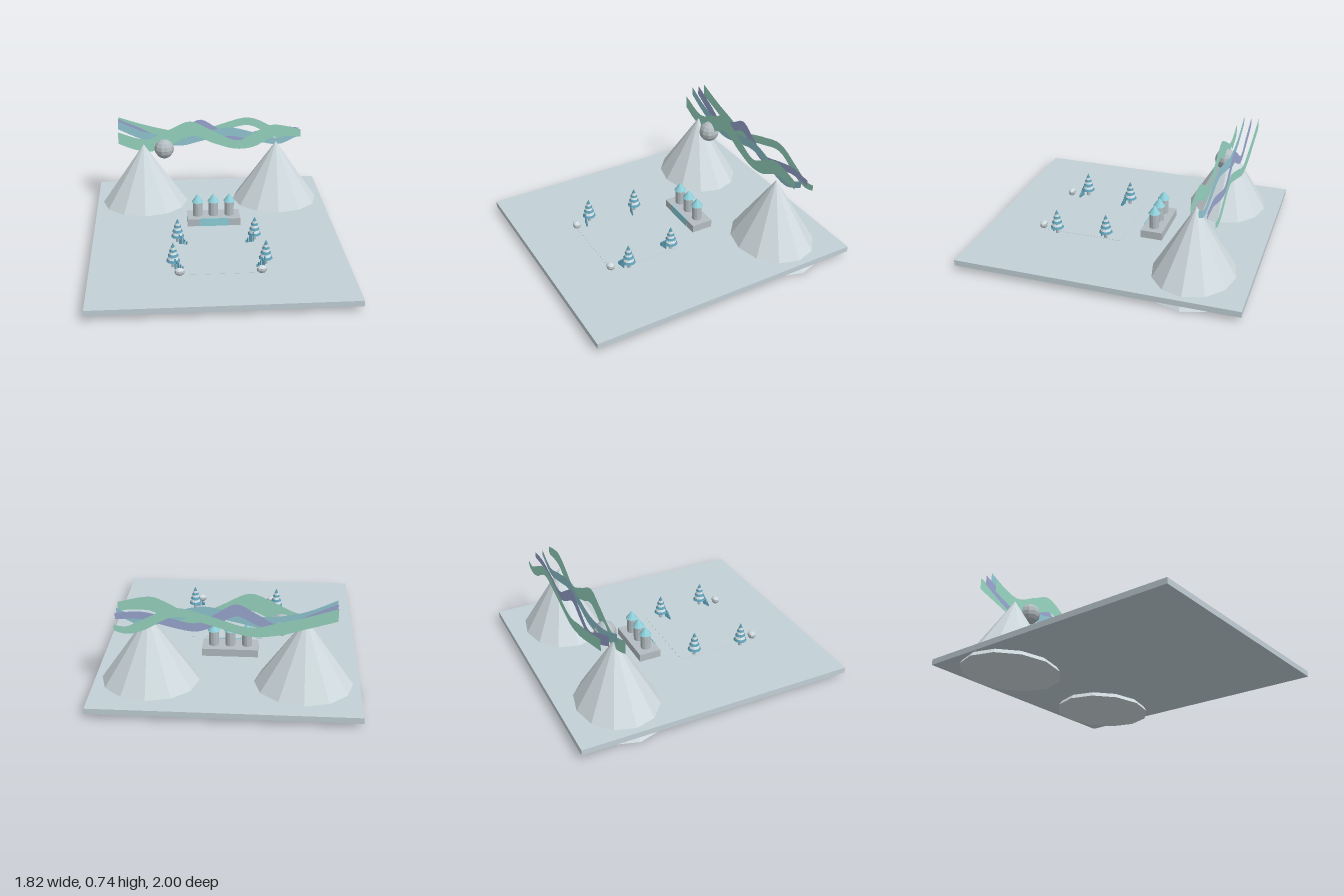
import * as THREE from 'three';

const mat = (name, color, extra = {}) => {
  const m = new THREE.MeshStandardMaterial({ color, flatShading: true, ...extra });
  m.name = name;
  return m;
};

export function createModel() {
  const root = new THREE.Group();
  const ground = mat('ground', 0xc2d0d7);
  const snow = mat('snow', 0xd0dbdf);
  const stone = mat('stone', 0xb4bdc2);
  const ice = mat('ice blue', 0x8fd0da);
  const pine = mat('pine', 0x5f9fb5);
  const green = mat('aurora green', 0x98d6c2, { side: THREE.DoubleSide });
  const teal = mat('aurora teal', 0x92c8d4, { side: THREE.DoubleSide });
  const violet = mat('aurora violet', 0x9ba8d2, { side: THREE.DoubleSide });

  const add = (parent, name, geo, material, x = 0, y = 0, z = 0) => {
    const m = new THREE.Mesh(geo, material);
    m.name = name;
    m.position.set(x, y, z);
    parent.add(m);
    return m;
  };
  const group = (name, x = 0, y = 0, z = 0) => {
    const g = new THREE.Group();
    g.name = name;
    g.position.set(x, y, z);
    root.add(g);
    return g;
  };
  const TOP = 0.077;

  // Base slab and frozen pond
  add(root, 'baseSlab', new THREE.BoxGeometry(1.8, 0.042, 2), ground, 0, 0.056, 0);
  add(root, 'frozenPond', new THREE.BoxGeometry(0.6, 0.003, 0.6), ground, 0, TOP, 0.3);

  // Mountains, pushed through the slab
  for (const s of [-1, 1]) {
    const m = add(root, 'mountain', new THREE.ConeGeometry(0.388, 0.564, 12), snow, s * 0.52, 0.282, -0.6);
    m.scale.z = 0.86;
  }

  // Moon
  add(root, 'moon', new THREE.SphereGeometry(0.077, 10, 8), stone, -0.36, 0.523, -0.6);

  // Castle
  const castle = group('castle', 0, TOP, -0.2);
  add(castle, 'castleWall', new THREE.BoxGeometry(0.4, 0.057, 0.16), stone, 0, 0.0285, 0);
  add(castle, 'castleIcePanel', new THREE.BoxGeometry(0.22, 0.063, 0.006), ice, 0, 0.0315, 0.08);
  for (const x of [-0.12, 0, 0.12]) {
    add(castle, 'tower', new THREE.CylinderGeometry(0.036, 0.036, 0.112, 12), stone, x, 0.113, 0);
    add(castle, 'towerRoof', new THREE.ConeGeometry(0.044, 0.062, 12), ice, x, 0.2, 0);
  }

  // Trees: tiers of pine with snowy bands, and a row of descending posts beside each
  for (const [x, z] of [[-0.28, 0.115], [0.28, 0.115], [-0.32, 0.475], [0.32, 0.475]]) {
    const tree = group('tree', x, TOP, z);
    add(tree, 'trunk', new THREE.CylinderGeometry(0.012, 0.014, 0.05, 8), stone, 0, 0.025, 0);
    [[0.049, 0.045, 0.075], [0.038, 0.085, 0.06], [0.027, 0.12, 0.065]].forEach(([r, y, h]) => {
      const cut = 0.016;
      const rm = r * (1 - cut / h);
      add(tree, 'pineBand', new THREE.CylinderGeometry(rm, r, cut, 10), pine, 0, y + cut / 2, 0);
      const r2 = r * (1 - 2 * cut / h);
      add(tree, 'snowBand', new THREE.CylinderGeometry(r2, rm, cut, 10), snow, 0, y + cut * 1.5, 0);
      add(tree, 'pineTop', new THREE.ConeGeometry(r2, h - 2 * cut, 10), pine, 0, y + cut * 2 + (h - 2 * cut) / 2, 0);
    });
    const dir = x < 0 ? 1 : -1;
    for (let i = 0; i < 5; i++) {
      const h = 0.075 - i * 0.013;
      add(tree, 'icePost', new THREE.CylinderGeometry(0.006, 0.006, h, 6), pine,
        dir * (0.012 + i * 0.013), h / 2, 0.036 + i * 0.003);
    }
  }

  // Snowy boulders
  for (const s of [-1, 1]) {
    const rock = group('boulder', s * 0.28, 0.103, 0.598);
    rock.scale.set(1.3, 0.95, 1);
    add(rock, 'boulderBody', new THREE.SphereGeometry(0.028, 8, 6), stone);
    add(rock, 'boulderSnowCap', new THREE.SphereGeometry(0.0295, 8, 3, 0, Math.PI * 2, 0, Math.PI / 3), snow);
  }

  // Aurora: flat wavy sheets, each edge a smooth curve through [x, y] points
  const sheet = (name, material, z, top, bottom) => {
    const curve = pts => new THREE.SplineCurve(pts.map(p => new THREE.Vector2(...p))).getPoints(40);
    const shape = new THREE.Shape([...curve(bottom), ...curve(top).reverse()]);
    add(root, name, new THREE.ShapeGeometry(shape), material, 0, 0, z);
  };
  sheet('auroraFrontGreen', green, -0.607,
    [[-0.715, 0.665], [-0.5, 0.6], [-0.31, 0.68], [-0.15, 0.74], [0.03, 0.655], [0.22, 0.575], [0.38, 0.655], [0.51, 0.7], [0.715, 0.655]],
    [[-0.715, 0.57], [-0.56, 0.51], [-0.38, 0.51], [-0.15, 0.62], [0.03, 0.555], [0.2, 0.505], [0.35, 0.52], [0.51, 0.6], [0.715, 0.595]]);
  sheet('auroraTeal', teal, -0.66,
    [[-0.715, 0.735], [-0.5, 0.64], [-0.25, 0.6], [-0.05, 0.63], [0.15, 0.665], [0.35, 0.62], [0.55, 0.57], [0.715, 0.64]],
    [[-0.715, 0.67], [-0.5, 0.57], [-0.25, 0.52], [-0.05, 0.56], [0.15, 0.595], [0.35, 0.55], [0.55, 0.515], [0.715, 0.59]]);
  sheet('auroraViolet', violet, -0.715,
    [[-0.715, 0.735], [-0.54, 0.655], [-0.36, 0.57], [-0.2, 0.65], [-0.07, 0.715], [0.06, 0.645], [0.2, 0.57], [0.4, 0.615], [0.55, 0.645], [0.715, 0.63]],
    [[-0.715, 0.66], [-0.54, 0.57], [-0.36, 0.51], [-0.2, 0.57], [-0.07, 0.63], [0.06, 0.56], [0.2, 0.51], [0.4, 0.55], [0.55, 0.59], [0.715, 0.585]]);
  sheet('auroraBackGreen', green, -0.77,
    [[-0.715, 0.73], [-0.52, 0.665], [-0.35, 0.62], [-0.15, 0.58], [0.1, 0.655], [0.32, 0.705], [0.52, 0.62], [0.63, 0.565], [0.715, 0.573]],
    [[-0.715, 0.64], [-0.52, 0.58], [-0.35, 0.53], [-0.15, 0.515], [0.1, 0.59], [0.32, 0.64], [0.52, 0.54], [0.63, 0.51], [0.715, 0.53]]);

  return root;
}
